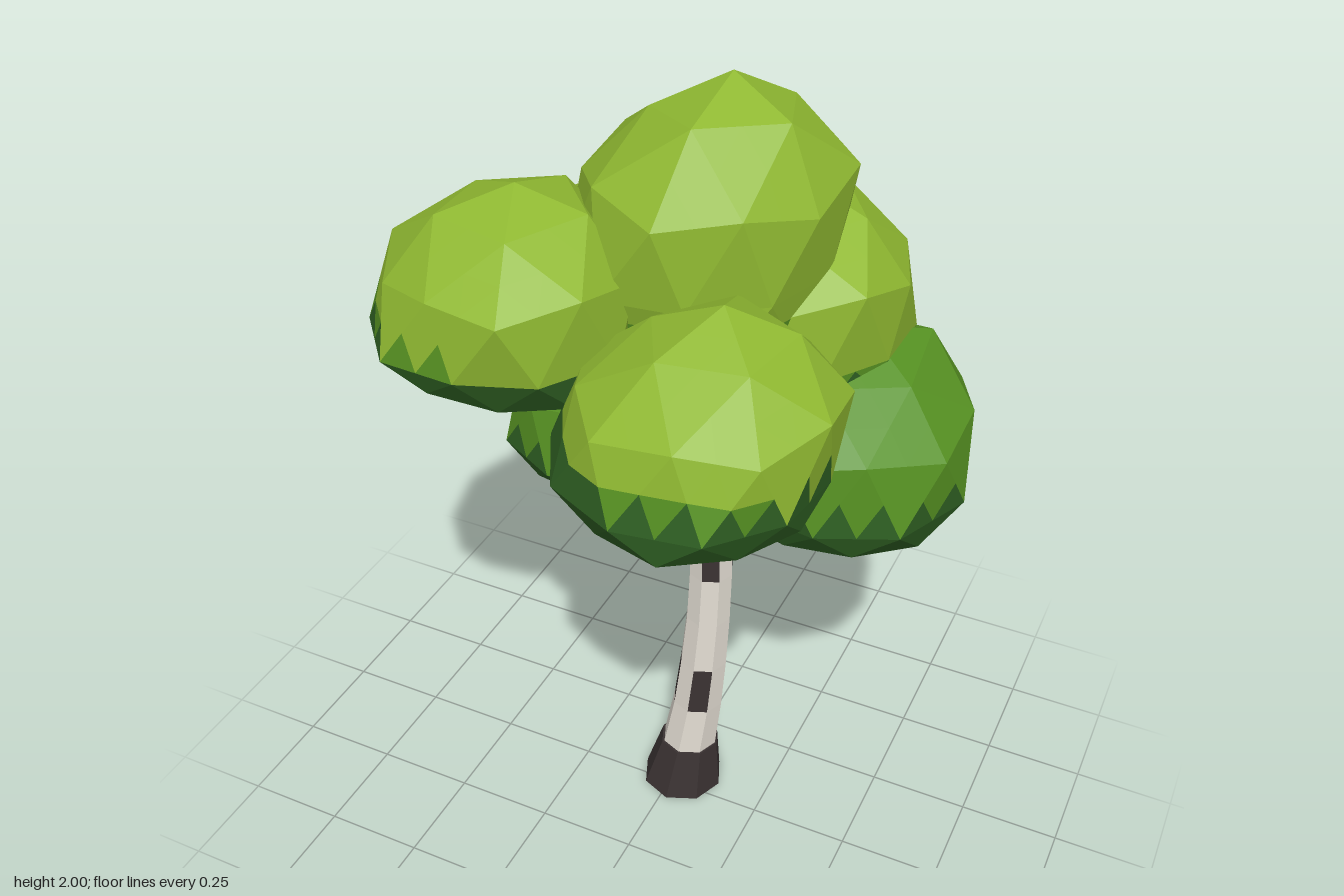
import * as THREE from 'three';

const paint = (name, color) => {
  const m = new THREE.MeshStandardMaterial({ color });
  m.name = name;
  return m;
};

// Turns one triangle list per material into a flat-faced mesh
function facetedMesh(name, lists, materials) {
  const geo = new THREE.BufferGeometry();
  const all = [];
  lists.forEach((list, i) => {
    geo.addGroup(all.length, list.length, i);
    for (const p of list) all.push(p);
  });
  geo.setAttribute('position', new THREE.Float32BufferAttribute(all.flatMap((p) => [p.x, p.y, p.z]), 3));
  geo.computeVertexNormals();
  const mesh = new THREE.Mesh(geo, materials);
  mesh.name = name;
  return mesh;
}

// Splits a triangle into four
function quarter(a, b, c) {
  const mid = (p, q) => p.clone().lerp(q, 0.5);
  const ab = mid(a, b), bc = mid(b, c), ca = mid(c, a);
  return [[a, ab, ca], [ab, b, bc], [ca, bc, c], [ab, bc, ca]];
}

// Leaf clump: a leaning dome with a shallow, sloping underside, fitted to a box and coloured in tilted height bands
function leafClump({ name, min, max, lean, slope, yaw, light, mid, bandTilt }, materials) {
  const geo = new THREE.IcosahedronGeometry(1, 1);
  geo.rotateZ(0.5536).rotateY(yaw);
  const pos = geo.attributes.position;
  const v = new THREE.Vector3();
  for (let i = 0; i < pos.count; i++) {
    v.fromBufferAttribute(pos, i);
    const [a, b, c] = v.toArray().map((n) => Math.round(n * 100));
    v.multiplyScalar(1 + 0.045 * Math.sin(a * 1.7 + b * 2.9 + c * 4.3));
    if (v.y < 0) {
      v.y *= 0.47 + slope * v.x;
    } else {
      const bulge = 1 + 0.3 * v.y * Math.max(0, 1 - v.y);
      v.set(v.x * bulge + lean[0] * v.y, v.y, v.z * bulge + lean[1] * v.y);
    }
    pos.setXYZ(i, v.x, v.y, v.z);
  }
  geo.computeBoundingBox();
  const box = geo.boundingBox;
  const size = box.getSize(new THREE.Vector3());
  const corner = (i) => {
    const p = new THREE.Vector3().fromBufferAttribute(pos, i).sub(box.min).divide(size);
    return new THREE.Vector3(...p.toArray().map((t, k) => min[k] + t * (max[k] - min[k])));
  };
  const bands = [[], [], []];
  const middle = (min[0] + max[0]) / 2;
  for (let i = 0; i < pos.count; i += 3) {
    for (const t of quarter(corner(i), corner(i + 1), corner(i + 2))) {
      const c = new THREE.Vector3().add(t[0]).add(t[1]).add(t[2]).divideScalar(3);
      const y = c.y + bandTilt * (c.x - middle);
      bands[y > light ? 0 : y > mid ? 1 : 2].push(...t);
    }
  }
  return facetedMesh(name, bands, materials);
}

// Eight-sided ring of points around a trunk centre
const ring = ([x, y, z, r]) => Array.from({ length: 8 }, (_, j) => {
  const a = (j * Math.PI) / 4;
  return new THREE.Vector3(x + r * Math.sin(a), y, z + r * Math.cos(a));
});

// Joins two rings, choosing a triangle list for each side
function joinRings(low, high, listFor) {
  for (let j = 0; j < 8; j++) {
    const k = (j + 1) % 8;
    listFor(j).push(low[j], low[k], high[k], low[j], high[k], high[j]);
  }
}

// Thin branch between two points
function branch(name, from, to, r0, r1, material) {
  const a = new THREE.Vector3(...from), b = new THREE.Vector3(...to);
  const geo = new THREE.CylinderGeometry(r1, r0, a.distanceTo(b), 5).toNonIndexed();
  geo.computeVertexNormals();
  const mesh = new THREE.Mesh(geo, material);
  mesh.position.copy(a).lerp(b, 0.5);
  mesh.quaternion.setFromUnitVectors(new THREE.Vector3(0, 1, 0), b.sub(a).normalize());
  mesh.name = name;
  return mesh;
}

export function createModel() {
  const tree = new THREE.Group();
  tree.name = 'tree';
  const bark = paint('pale bark', 0xe2dcd2);
  const darkBark = paint('dark bark', 0x3a3232);
  const cut = paint('cut base', 0xf0f0f0);
  const leaves = [
    paint('light leaf', 0x8fb831),
    paint('mid leaf', 0x569122),
    paint('dark leaf', 0x2f6023),
  ];

  // Bending trunk: x, y, z, radius; marked rows have dark patches on every other side
  const rows = [
    [0.035, 0.14, -0.052, 0.073], [0.055, 0.29, -0.058, 0.066], [0.067, 0.43, -0.063, 0.062],
    [0.076, 0.58, -0.068, 0.058], [0.079, 0.72, -0.072, 0.056], [0.078, 0.86, -0.074, 0.054],
    [0.073, 1.02, -0.075, 0.052], [0.06, 1.3, -0.075, 0.045],
  ];
  const pale = [], patches = [];
  rows.slice(1).forEach((row, i) => {
    const marked = i === 1 || i === 4;
    joinRings(ring(rows[i]), ring(row), (j) => (marked && j % 2 === 0 ? patches : pale));
  });
  tree.add(facetedMesh('trunk', [pale, patches], [bark, darkBark]));

  // Flared foot with a closed underside
  const foot = [], underside = [];
  const low = ring([0.018, 0, -0.046, 0.107]), high = ring([0.035, 0.145, -0.052, 0.078]);
  joinRings(low, high, () => foot);
  const centreLow = new THREE.Vector3(0.018, 0, -0.046), centreHigh = new THREE.Vector3(0.035, 0.145, -0.052);
  for (let j = 0; j < 8; j++) {
    const k = (j + 1) % 8;
    underside.push(centreLow, low[k], low[j]);
    foot.push(centreHigh, high[j], high[k]);
  }
  tree.add(facetedMesh('trunkFoot', [foot, underside], [darkBark, cut]));

  // Branches reaching into the leaves
  tree.add(branch('leftBranch', [0.1, 0.9, -0.09], [0.26, 1.04, -0.13], 0.018, 0.014, bark));
  tree.add(branch('backBranch', [0.06, 0.98, -0.08], [-0.2, 1.2, -0.25], 0.02, 0.014, bark));

  // Leaf clumps
  const clumps = [
    { name: 'topLeaves', min: [-0.27, 1.4, -0.4], max: [0.35, 2, 0.23], lean: [0.18, 0], slope: 0.2, yaw: 0.3, light: 1.54, mid: 1.52, bandTilt: 0.1 },
    { name: 'frontLeaves', min: [-0.1, 1.19, 0.04], max: [0.5, 1.69, 0.605], lean: [0.15, -0.12], slope: 0.05, yaw: 1.1, light: 1.41, mid: 1.39, bandTilt: 0.06 },
    { name: 'frontSideLeaves', min: [-0.55, 1.34, -0.1], max: [0.01, 1.81, 0.485], lean: [0.12, 0], slope: 0.22, yaw: 2, light: 1.52, mid: 1.5, bandTilt: 0.12 },
    { name: 'backSideLeaves', min: [-0.66, 1.04, -0.605], max: [-0.03, 1.6, 0.07], lean: [0.15, 0.06], slope: 0.22, yaw: 2.7, light: 1.29, mid: 1.24, bandTilt: 0.15 },
    { name: 'lowerLeaves', min: [-0.4, 0.97, -0.29], max: [0.14, 1.45, 0.24], lean: [0.15, 0], slope: 0.22, yaw: 3.6, light: 1.38, mid: 1.15, bandTilt: 0.1 },
    { name: 'backLeaves', min: [-0.12, 1.22, -0.52], max: [0.465, 1.74, 0.05], lean: [0.1, 0.1], slope: 0.15, yaw: 4.4, light: 1.4, mid: 1.38, bandTilt: 0.1 },
    { name: 'sideLeaves', min: [0.06, 0.9, -0.55], max: [0.66, 1.42, 0.13], lean: [0.1, 0], slope: 0.05, yaw: 5.2, light: 1.4, mid: 1.09, bandTilt: -0.08 },
  ];
  for (const c of clumps) tree.add(leafClump(c, leaves));
  return tree;
}
